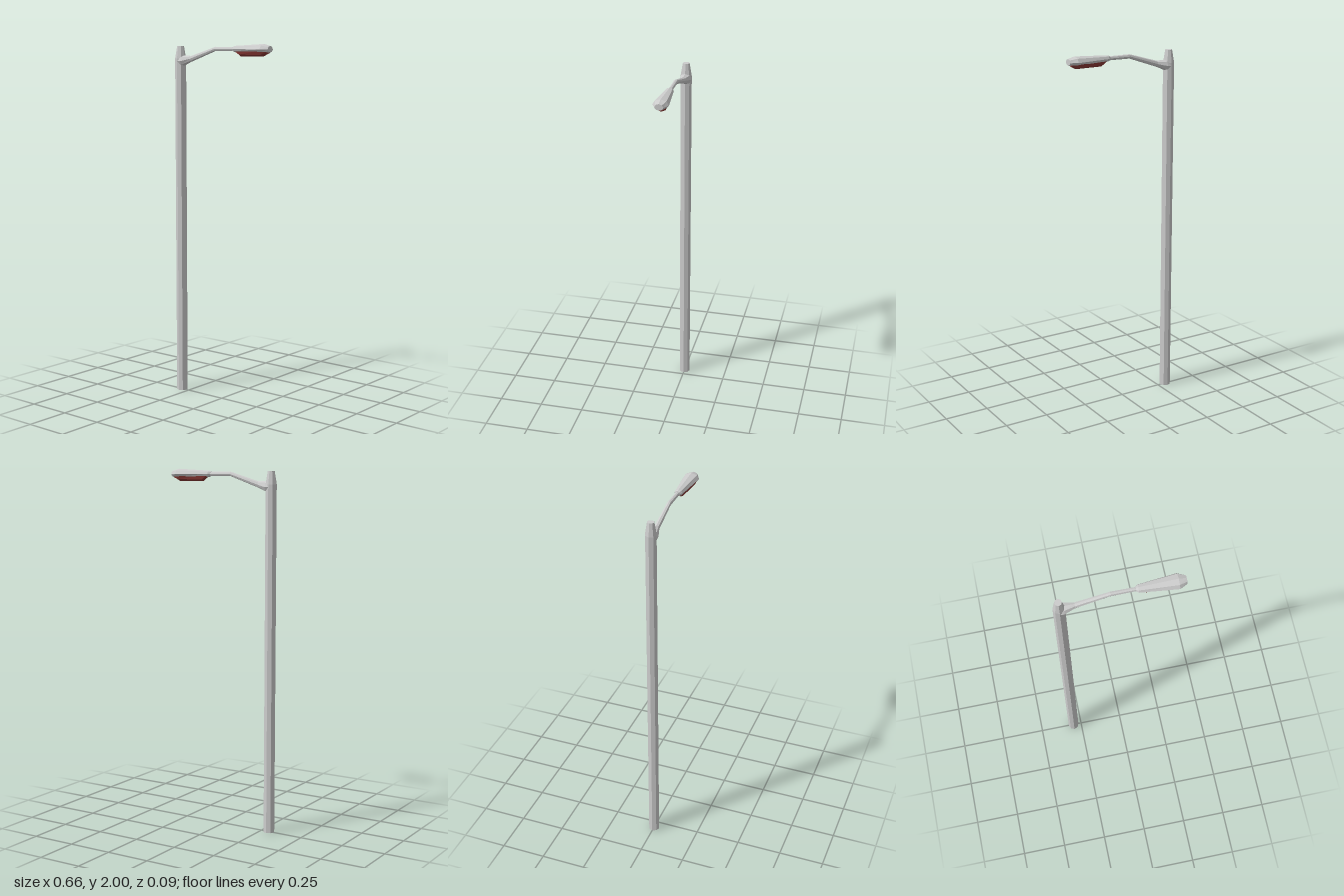
import * as THREE from 'three';

const SIDES = 8;
const POLE_X = -0.298;

function mesh(name, geometry, color = 0xcccccc) {
  const m = new THREE.Mesh(geometry, new THREE.MeshStandardMaterial({ color, flatShading: true }));
  m.name = name;
  return m;
}

// Joins octagonal sections along x. Section: [x, centreY, heightUp, heightDown, halfWidth]
function loft(sections) {
  const pos = [], index = [];
  for (const [x, y, up, down, w] of sections) {
    for (let i = 0; i < SIDES; i++) {
      const a = (i / SIDES) * Math.PI * 2, c = Math.cos(a);
      pos.push(x, y + c * (c > 0 ? up : down), Math.sin(a) * w);
    }
  }
  const last = (sections.length - 1) * SIDES;
  for (let j = 0; j < last; j += SIDES) {
    for (let i = 0; i < SIDES; i++) {
      const k = (i + 1) % SIDES;
      index.push(j + i, j + k, j + SIDES + i, j + k, j + SIDES + k, j + SIDES + i);
    }
  }
  // end caps
  for (let i = 1; i < SIDES - 1; i++) {
    index.push(0, i + 1, i, last, last + i, last + i + 1);
  }
  const g = new THREE.BufferGeometry();
  g.setAttribute('position', new THREE.Float32BufferAttribute(pos, 3));
  g.setIndex(index);
  g.computeVertexNormals();
  return g;
}

export function createModel() {
  const group = new THREE.Group();
  group.name = 'streetLamp';

  // straight post with a tapered tip
  const post = mesh('post', new THREE.CylinderGeometry(0.031, 0.031, 1.92, SIDES));
  post.position.set(POLE_X, 0.96, 0);
  const tip = mesh('postTip', new THREE.CylinderGeometry(0.019, 0.031, 0.07, SIDES));
  tip.position.set(POLE_X, 1.955, 0);
  group.add(post, tip);

  // bracket arm: flared at the post, rising to a bend, then level
  group.add(mesh('arm', loft([
    [POLE_X, 1.905, 0.03, 0.03, 0.031],
    [-0.275, 1.905, 0.032, 0.028, 0.032],
    [-0.22, 1.918, 0.017, 0.017, 0.015],
    [-0.045, 1.973, 0.012, 0.012, 0.012],
    [0.09, 1.973, 0.011, 0.011, 0.011],
  ])));

  // lamp housing: widens towards the far end
  group.add(mesh('lampHousing', loft([
    [0.08, 1.973, 0.013, 0.013, 0.013],
    [0.092, 1.973, 0.017, 0.017, 0.022],
    [0.29, 1.971, 0.029, 0.02, 0.043],
    [0.33, 1.971, 0.019, 0.016, 0.023],
  ])));

  // coloured lens under the housing
  group.add(mesh('lampLens', loft([
    [0.105, 1.965, 0.005, 0.012, 0.016],
    [0.13, 1.965, 0.005, 0.031, 0.02],
    [0.285, 1.965, 0.005, 0.032, 0.034],
    [0.315, 1.965, 0.005, 0.017, 0.024],
  ]), 0x8c3a36));

  return group;
}
